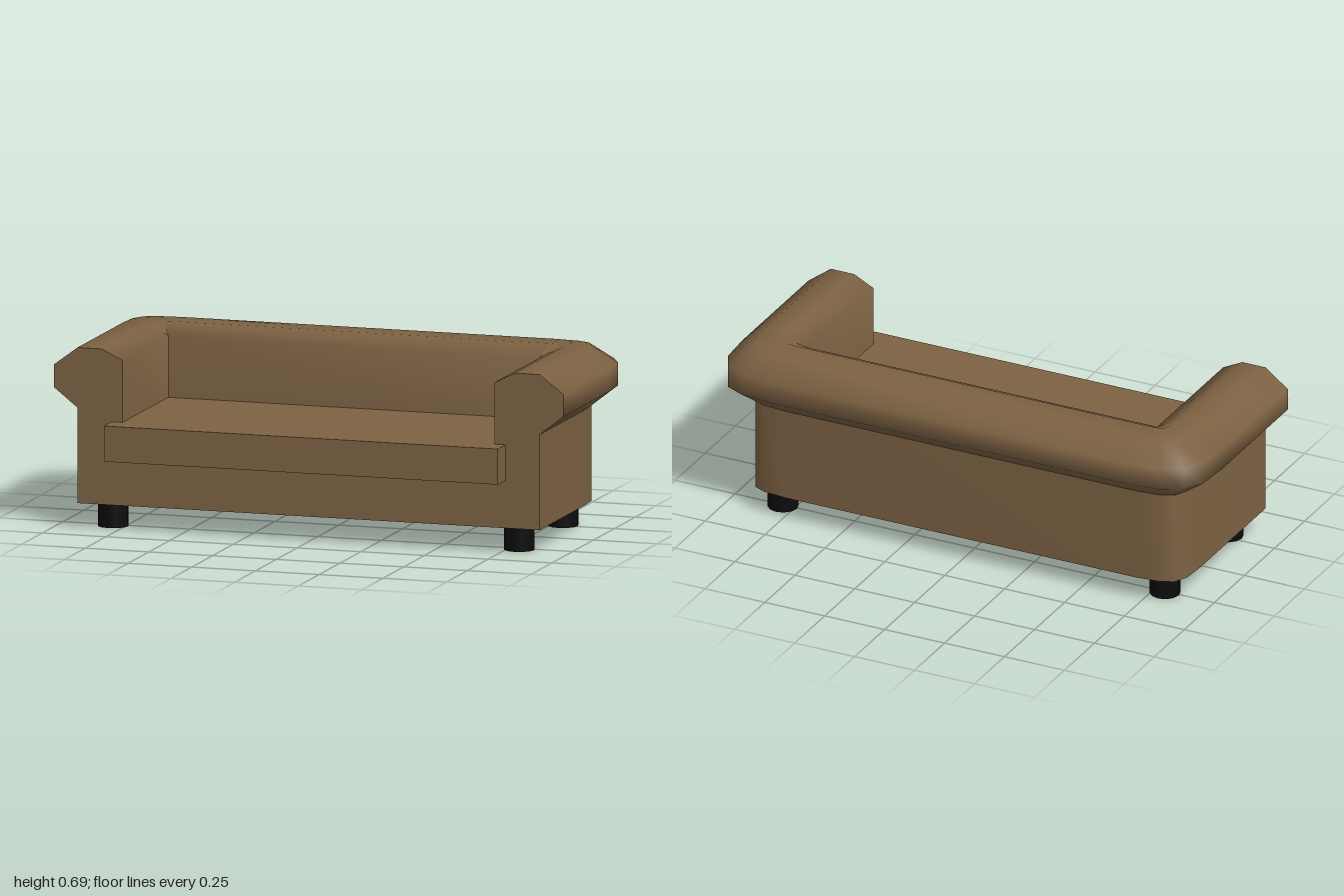
import * as THREE from 'three';

const FRONT = 0.362, INNER_X = 0.73, INNER_Z = -0.187;

// Directions around the rounded back corner, from the arm side to the back
const CORNER = [[1, 0], [0.965, -0.52], [0.815, -0.82], [0.55, -0.945], [0, -1]];

// Cross-sections as [distance outward from the inner wall, height]
const WALL = [[0.177, 0.095], [0.177, 0.457]];
const ROLL = [[0.177, 0.457], [0.27, 0.53], [0.27, 0.615], [0.177, 0.685], [0.08, 0.685], [0, 0.645], [0, 0.3]];

// Stations run from one arm front, round the back, to the other arm front
function stations() {
  const half = [{ x: INNER_X, z: FRONT, dx: 1, dz: 0 }];
  for (const [dx, dz] of CORNER) half.push({ x: INNER_X, z: INNER_Z, dx, dz: dz * 0.993 });
  const other = half.map(s => ({ x: -s.x, z: s.z, dx: -s.dx, dz: s.dz })).reverse();
  return [...half, ...other];
}

const place = (s, d) => [s.x + s.dx * d, s.z + s.dz * d];

// Sweeps a cross-section along the U-shaped path with smooth normals
function sweep(profile) {
  const path = stations(), n = profile.length, pos = [], index = [];
  for (const s of path) {
    for (const [d, y] of profile) {
      const [x, z] = place(s, d);
      pos.push(x, y, z);
    }
  }
  for (let i = 0; i < path.length - 1; i++) {
    for (let j = 0; j < n - 1; j++) {
      const a = i * n + j, b = a + n;
      index.push(a, b, a + 1, b, b + 1, a + 1);
    }
  }
  const geo = new THREE.BufferGeometry();
  geo.setAttribute('position', new THREE.Float32BufferAttribute(pos, 3));
  geo.setIndex(index);
  geo.computeVertexNormals();
  return geo;
}

const flatShape = pts => new THREE.ShapeGeometry(new THREE.Shape(pts.map(p => new THREE.Vector2(...p))));

export function createModel() {
  const model = new THREE.Group();
  model.name = 'sofa';
  const upholstery = new THREE.MeshStandardMaterial({ color: 0x7d6243 });
  upholstery.name = 'brown upholstery';
  const black = new THREE.MeshStandardMaterial({ color: 0x0c0c0c });
  black.name = 'black legs';

  const add = (name, geo, mat, x = 0, y = 0, z = 0) => {
    const mesh = new THREE.Mesh(geo, mat);
    mesh.name = name;
    mesh.position.set(x, y, z);
    model.add(mesh);
  };

  // Outer body wall and the rolled arms and backrest
  add('bodyWall', sweep(WALL), upholstery);
  add('rolledArmsAndBack', sweep(ROLL), upholstery);

  // Flat front panel including both arm ends
  const side = [WALL[0], ...ROLL].map(([d, y]) => [INNER_X + d, y]);
  const mirrored = side.map(([x, y]) => [-x, y]).reverse();
  add('frontPanel', flatShape([...side, ...mirrored]), upholstery, 0, 0, FRONT);

  // Underside with rounded back corners
  const outline = stations().map(s => place(s, 0.177));
  add('underside', flatShape(outline).rotateX(Math.PI / 2), upholstery, 0, 0.095, 0);

  // Seat cushion, overhanging the front
  add('seatCushion', new THREE.BoxGeometry(1.546, 0.135, 0.655), upholstery, 0, 0.3435, 0.1275);

  // Four round legs
  const leg = new THREE.CylinderGeometry(0.058, 0.058, 0.095, 12);
  for (const x of [-0.797, 0.797]) {
    for (const z of [0.268, -0.256]) add('leg', leg, black, x, 0.0475, z);
  }
  return model;
}
